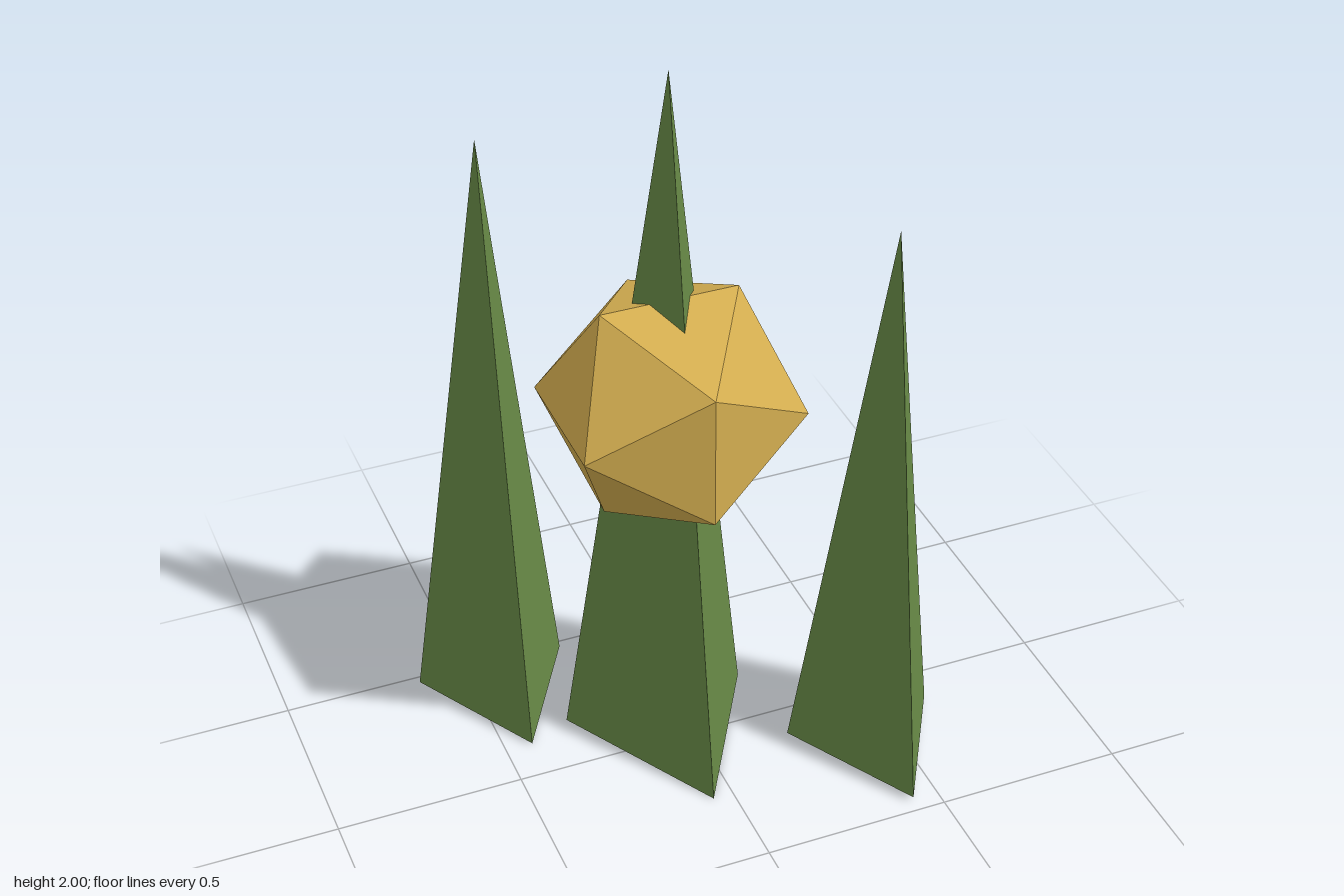
import * as THREE from 'three';

export function createModel() {
  const group = new THREE.Group();
  const leafGreen = new THREE.MeshStandardMaterial({ color: 0x688a47, flatShading: true });
  leafGreen.name = 'leaf green';
  const gold = new THREE.MeshStandardMaterial({ color: 0xd4ae50, flatShading: true });
  gold.name = 'gold';

  // Three-sided spike standing on baseY, one edge pointing forward
  function addSpike(name, x, z, radius, baseY, tipY) {
    const height = tipY - baseY;
    const spike = new THREE.Mesh(new THREE.ConeGeometry(radius, height, 3), leafGreen);
    spike.name = name;
    spike.position.set(x, baseY + height / 2, z);
    group.add(spike);
  }
  addSpike('centreSpike', -0.055, -0.032, 0.292, 0, 2);
  addSpike('rightSpike', -0.427, -0.356, 0.237, 0.004, 1.73);
  addSpike('leftSpike', 0.425, 0.231, 0.237, 0.016, 1.61);

  // Faceted fruit pierced by the centre spike
  const fruit = new THREE.Mesh(new THREE.IcosahedronGeometry(0.345, 0), gold);
  fruit.name = 'fruit';
  fruit.position.set(-0.055, 1.084, -0.033);
  group.add(fruit);

  return group;
}
